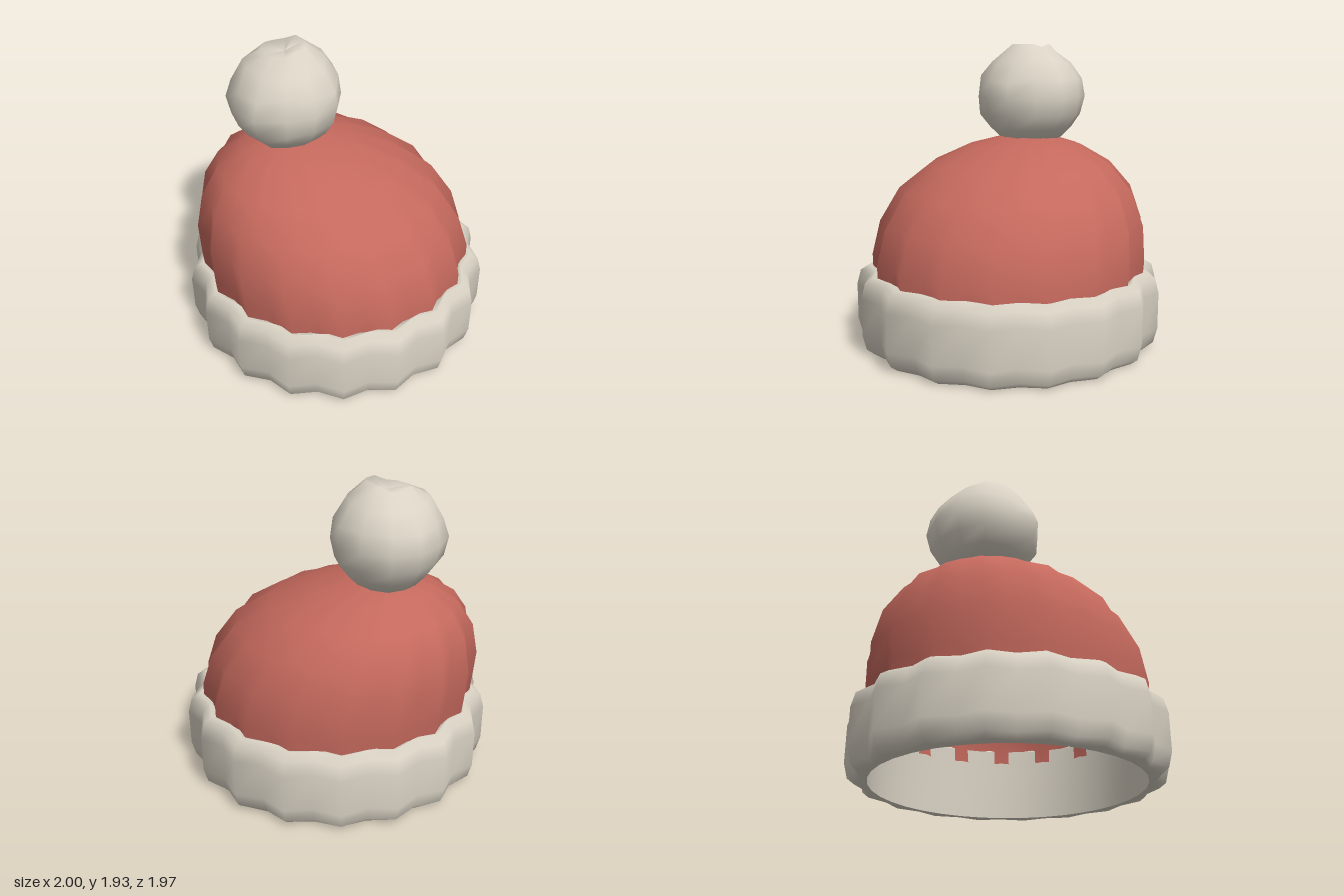
import * as THREE from 'three';

const wool = new THREE.MeshStandardMaterial({ color: 0xc5695d, side: THREE.DoubleSide });
wool.name = 'red wool';
const fleece = new THREE.MeshStandardMaterial({ color: 0xdad3c5 });
fleece.name = 'cream fleece';

// Joins closed rings, listed so that "upwards" rings face outwards.
// point(ring, angle, segment, ringIndex) returns [x, y, z].
function loft(rings, segments, point) {
  const positions = [];
  const index = [];
  rings.forEach((ring, i) => {
    for (let j = 0; j < segments; j++) {
      positions.push(...point(ring, (j / segments) * Math.PI * 2, j, i));
      if (i === rings.length - 1) continue;
      const a = i * segments + j;
      const b = i * segments + ((j + 1) % segments);
      index.push(a, a + segments, b, b, a + segments, b + segments);
    }
  });
  const geometry = new THREE.BufferGeometry();
  geometry.setAttribute('position', new THREE.Float32BufferAttribute(positions, 3));
  geometry.setIndex(index);
  geometry.computeVertexNormals();
  return geometry;
}

// Rings are [radius, y, rib depth, x offset]; every second point sinks in by the rib depth.
function ribbed(rings) {
  return loft(rings, 36, ([radius, y, depth = 0, shift = 0], angle, j) => {
    const r = j % 2 ? radius - depth : radius;
    return [shift + r * Math.cos(angle), y, r * Math.sin(angle)];
  });
}

function part(name, geometry, material) {
  const mesh = new THREE.Mesh(geometry, material);
  mesh.name = name;
  return mesh;
}

function createPompom() {
  // Uneven outline shared by all the rings, plus a little seeded roughness
  const outline = [1, 1.0, 0.98, 1.09, 1.03, 1.06, 0.97, 1.0, 1.04, 0.98, 1.03, 0.96];
  let seed = 7;
  const rough = () => {
    seed = (seed * 16807) % 2147483647;
    return seed / 2147483647 - 0.5;
  };
  const rings = [
    [0, 1.27], [0.2, 1.3], [0.27, 1.37], [0.335, 1.46], [0.36, 1.58],
    [0.335, 1.7], [0.26, 1.82], [0.14, 1.91], [0, 1.88],
  ];
  return loft(rings, 12, ([radius, y], angle, j, i) => {
    const r = radius * (i === 4 ? outline[j] : 1 + (outline[j] - 1) * 0.5 + rough() * 0.08);
    const lift = radius > 0 && i > 4 ? rough() * 0.05 : 0;
    return [-0.35 + r * Math.cos(angle), y + lift, r * Math.sin(angle)];
  });
}

export function createModel() {
  const hat = new THREE.Group();
  hat.name = 'bobbleHat';

  // Crown leaning towards one side, its ribs fading out at the top
  hat.add(part('crown', ribbed([
    [0.89, 0.39, 0.06, 0], [0.9, 0.57, 0.06, -0.01], [0.872, 0.785, 0.055, -0.058],
    [0.775, 0.995, 0.04, -0.12], [0.605, 1.15, 0.025, -0.2], [0.38, 1.26, 0.01, -0.265],
    [0.17, 1.315, 0, -0.31], [0, 1.325, 0, -0.32],
  ]), wool));

  // Turned-up brim: ribbed outside, plain round inside
  const brim = new THREE.Group();
  brim.name = 'brim';
  brim.add(part('brimOutside', ribbed([
    [0.85, 0], [0.93, 0, 0.04], [0.975, 0.035, 0.055], [1, 0.13, 0.06],
    [1, 0.37, 0.06], [0.975, 0.465, 0.055], [0.92, 0.5, 0.05], [0.85, 0.48],
  ]), fleece));
  brim.add(part('brimLining', ribbed([[0.85, 0.48], [0.85, 0.24], [0.85, 0]]), fleece));
  hat.add(brim);

  hat.add(part('pompom', createPompom(), fleece));
  return hat;
}
